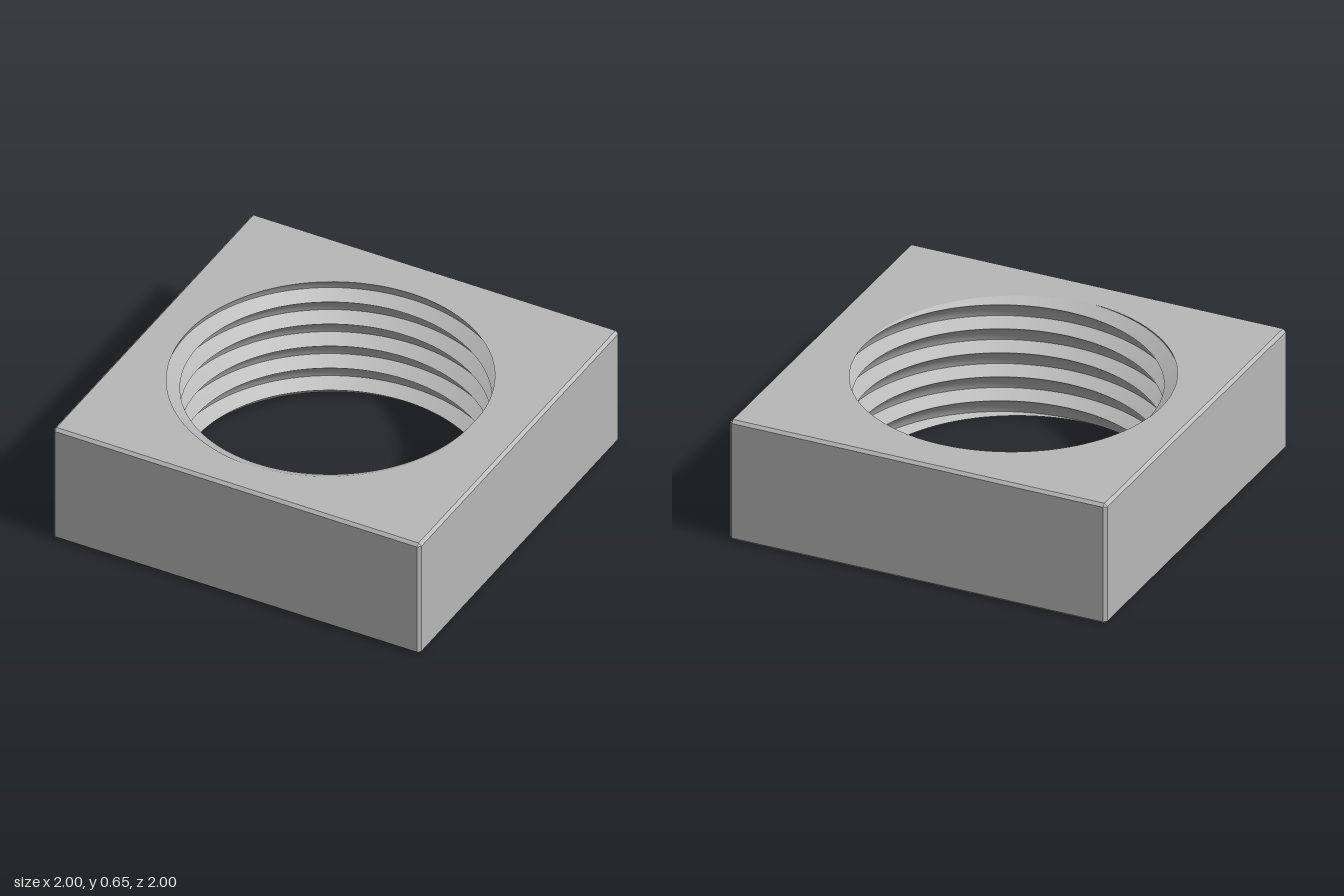
import * as THREE from 'three';
import { toCreasedNormals } from 'three/addons/utils/BufferGeometryUtils.js';

const H = 0.65, EDGE = 0.985, PITCH = H / 5, SEGMENTS = 160;
const HOLE_AT = 0.855, HOLE_R = 0.025, HOLE_DEPTH = 0.12;

// One turn of the thread profile: [fraction of pitch, radius]
const PROFILE = [[0, 0.746], [0.12, 0.766], [0.25, 0.783], [0.37, 0.796], [0.5, 0.806],
  [0.62, 0.813], [0.74, 0.818], [0.87, 0.782], [1, 0.746]];

function threadRadius(angle, y) {
  const u = angle / (2 * Math.PI) - (y - H) / PITCH;
  const f = u - Math.floor(u + 1e-9);
  let i = 1;
  while (i < PROFILE.length - 1 && PROFILE[i][0] < f) i++;
  const [u0, r0] = PROFILE[i - 1], [u1, r1] = PROFILE[i];
  return r0 + (r1 - r0) * (f - u0) / (u1 - u0);
}

const angleAt = (i) => (i / SEGMENTS) * 2 * Math.PI;
const polar = (r, a, y) => new THREE.Vector3(r * Math.cos(a), y, -r * Math.sin(a));

// Skin a stack of equal-length rows of points, leaving out empty triangles
function skin(rows, inward) {
  const pos = [], tri = new THREE.Triangle();
  const add = (a, b, c) => {
    tri.set(a, b, c);
    if (tri.getArea() < 1e-9) return;
    for (const p of inward ? [a, c, b] : [a, b, c]) pos.push(p.x, p.y, p.z);
  };
  for (let j = 0; j < rows.length - 1; j++) {
    const lo = rows[j], hi = rows[j + 1];
    for (let i = 0; i < lo.length - 1; i++) {
      add(lo[i], lo[i + 1], hi[i + 1]);
      add(lo[i], hi[i + 1], hi[i]);
    }
  }
  const geometry = new THREE.BufferGeometry();
  geometry.setAttribute('position', new THREE.Float32BufferAttribute(pos, 3));
  geometry.computeVertexNormals();
  return geometry;
}

// Square face with the thread opening cut out; side is 1 for top, -1 for bottom
function faceGeometry(y, side) {
  const e = EDGE;
  const shape = new THREE.Shape([[-e, -e], [e, -e], [e, e], [-e, e]].map((p) => new THREE.Vector2(...p)));
  const rim = [];
  for (let i = 0; i < SEGMENTS; i++) {
    const a = angleAt(i), r = threadRadius(a, y);
    rim.push(new THREE.Vector2(r * Math.cos(a), side * r * Math.sin(a)));
  }
  shape.holes.push(new THREE.Path(rim));
  if (side < 0) {
    for (const x of [-1, 1]) for (const z of [-1, 1]) {
      shape.holes.push(new THREE.Path().absarc(x * HOLE_AT, z * HOLE_AT, HOLE_R, 0, 2 * Math.PI, true));
    }
  }
  return new THREE.ShapeGeometry(shape, 12).rotateX(-side * Math.PI / 2).translate(0, y, 0);
}

export function createModel() {
  const group = new THREE.Group();
  const grey = new THREE.MeshStandardMaterial({ color: 0xb8b8b8 });
  grey.name = 'grey';
  const add = (name, geometry) => {
    const mesh = new THREE.Mesh(geometry, grey);
    mesh.name = name;
    group.add(mesh);
    return mesh;
  };

  // Side walls with chamfered edges
  const e = EDGE, c = 1 - EDGE;
  const loop = (w, y) => [[w, -e], [w, e], [e, w], [-e, w], [-w, e], [-w, -e], [-e, -w], [e, -w], [w, -e]]
    .map(([x, s]) => new THREE.Vector3(x, y, -s));
  add('sideWalls', skin([loop(e, 0), loop(1, c), loop(1, H - c), loop(e, H)], false));

  add('topFace', faceGeometry(H, 1));
  add('bottomFace', faceGeometry(0, -1));

  // Threaded bore: rows follow the helix and are trimmed at both faces
  const rows = [];
  for (let turn = 5; turn >= 0; turn--) {
    for (let k = PROFILE.length - 1; k >= (turn ? 1 : 0); k--) {
      const row = [];
      for (let i = 0; i <= SEGMENTS; i++) {
        const a = angleAt(i);
        const y = THREE.MathUtils.clamp(H - PITCH * (turn + PROFILE[k][0] - i / SEGMENTS), 0, H);
        row.push(polar(threadRadius(a, y), a, y));
      }
      rows.push(row);
    }
  }
  add('threadedBore', toCreasedNormals(skin(rows, true), 0.6));

  // Blind screw holes in the underside corners
  const ring = (r, y) => Array.from({ length: 25 }, (_, i) => polar(r, (i / 24) * 2 * Math.PI, y));
  const holeGeometry = toCreasedNormals(
    skin([ring(HOLE_R, 0), ring(HOLE_R, HOLE_DEPTH), ring(0, HOLE_DEPTH)], true), 0.6);
  for (const x of [-1, 1]) for (const z of [-1, 1]) {
    add('screwHole', holeGeometry).position.set(x * HOLE_AT, 0, z * HOLE_AT);
  }
  return group;
}
